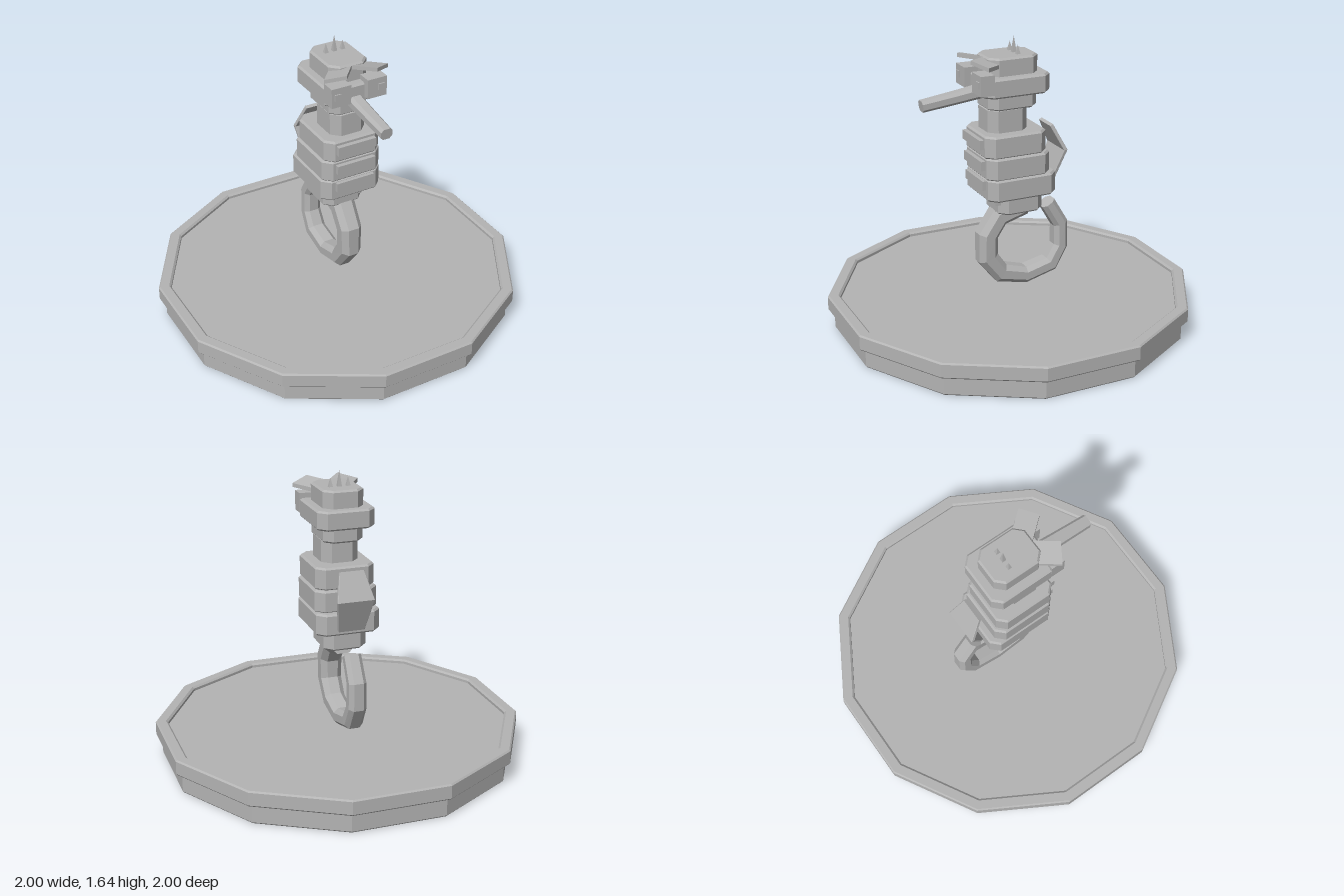
import * as THREE from 'three';

const grey = new THREE.MeshStandardMaterial({ color: 0xb4b4b4, flatShading: true });
grey.name = 'stone grey';

function add(parent, name, geometry, x = 0, y = 0, z = 0) {
  const mesh = new THREE.Mesh(geometry, grey);
  mesh.name = name;
  mesh.position.set(x, y, z);
  parent.add(mesh);
  return mesh;
}

// Upright block with chamfered corners and small bevels, half width w, z0..z1, y0..y1
function block(w, z0, z1, y0, y1, corner = 0.04, bevel = 0.01) {
  const a = w - bevel, b = (z1 - z0) / 2 - bevel, c = corner;
  const shape = new THREE.Shape([
    [a, c - b], [a, b - c], [a - c, b], [c - a, b],
    [-a, b - c], [-a, c - b], [c - a, -b], [a - c, -b],
  ].map(([x, y]) => new THREE.Vector2(x, y)));
  const g = new THREE.ExtrudeGeometry(shape, {
    depth: y1 - y0 - 2 * bevel, bevelEnabled: true, bevelSize: bevel,
    bevelThickness: bevel, bevelSegments: 1,
  });
  g.rotateX(-Math.PI / 2);
  g.translate(0, y0 + bevel, (z0 + z1) / 2);
  return g;
}

// Chamfered bar swept through [z, y, halfWidth, halfThickness] in the middle plane
function sweep(points, chamfer) {
  const rings = points.map(([z, y, w, h], i) => {
    const dir = (p, q) => new THREE.Vector2(q[0] - p[0], q[1] - p[1]).normalize();
    const before = i > 0 ? dir(points[i - 1], points[i]) : dir(points[0], points[1]);
    const after = i < points.length - 1 ? dir(points[i], points[i + 1]) : before;
    const t = before.clone().add(after).normalize();
    const k = h / t.dot(before);
    const c = chamfer * Math.min(w, h);
    return [[w, c - k], [w, k - c], [w - c, k], [c - w, k],
      [-w, k - c], [-w, c - k], [c - w, -k], [w - c, -k]]
      .map(([u, v]) => [u, y + t.x * v, z - t.y * v]);
  });
  const out = [];
  const tri = (a, b, c) => out.push(...a, ...b, ...c);
  for (let i = 0; i < rings.length - 1; i++) {
    for (let j = 0; j < 8; j++) {
      const n = (j + 1) % 8;
      tri(rings[i][j], rings[i][n], rings[i + 1][n]);
      tri(rings[i][j], rings[i + 1][n], rings[i + 1][j]);
    }
  }
  const last = rings[rings.length - 1];
  for (let j = 1; j < 7; j++) {
    tri(rings[0][0], rings[0][j + 1], rings[0][j]);
    tri(last[0], last[j], last[j + 1]);
  }
  const g = new THREE.BufferGeometry();
  g.setAttribute('position', new THREE.Float32BufferAttribute(out, 3));
  g.computeVertexNormals();
  return g;
}

// Thin tilted plate: a box whose vertices are moved onto a parallelogram
function browPlate(side) {
  const g = new THREE.BoxGeometry(1, 1, 1);
  const p = g.attributes.position;
  for (let i = 0; i < p.count; i++) {
    const u = side * p.getX(i) + 0.5, v = 0.5 - p.getZ(i);
    p.setXYZ(i, side * (0.09 + 0.1 * u - 0.09 * v),
      1.543 - 0.025 * u - 0.012 * v + p.getY(i) * 0.022,
      0.27 - 0.06 * u - 0.11 * v);
  }
  g.computeVertexNormals();
  return g;
}

export function createModel() {
  const model = new THREE.Group();
  model.name = 'seahorseStatue';

  // Twelve-sided pedestal with a raised rim
  const profile = [[0, 0], [0.96, 0], [0.967, 0.008], [0.967, 0.112], [0.993, 0.112],
    [1, 0.12], [1, 0.192], [0.992, 0.2], [0.943, 0.2], [0.932, 0.19], [0.932, 0.175], [0, 0.175]];
  const toCorner = 1 / Math.cos(Math.PI / 12);
  add(model, 'pedestal', new THREE.LatheGeometry(
    profile.map(([r, y]) => new THREE.Vector2(r * toCorner, y)), 12, Math.PI / 12));

  // Curled tail
  add(model, 'tail', sweep([
    [-0.08, 0.67, 0.065, 0.055], [0.075, 0.625, 0.065, 0.055], [0.145, 0.52, 0.063, 0.057],
    [0.145, 0.385, 0.06, 0.056], [0.065, 0.28, 0.058, 0.052], [-0.09, 0.24, 0.056, 0.047],
    [-0.25, 0.28, 0.054, 0.045], [-0.31, 0.385, 0.052, 0.043], [-0.31, 0.52, 0.05, 0.042],
    [-0.23, 0.655, 0.048, 0.042],
  ], 0.55));

  // Stacked body and head blocks
  const blocks = [
    ['hips', 0.122, -0.16, 0.11, 0.66, 0.78],
    ['lowerBody', 0.182, -0.212, 0.197, 0.768, 0.893],
    ['middleBody', 0.177, -0.175, 0.201, 0.888, 1.014],
    ['upperBody', 0.168, -0.157, 0.207, 1.01, 1.137],
    ['neck', 0.105, -0.072, 0.162, 1.12, 1.27],
    ['jaw', 0.112, -0.127, 0.162, 1.26, 1.36],
    ['headBand', 0.162, -0.18, 0.211, 1.345, 1.452],
    ['crown', 0.115, -0.13, 0.162, 1.44, 1.55],
  ];
  for (const [name, w, z0, z1, y0, y1] of blocks) add(model, name, block(w, z0, z1, y0, y1));

  // Belly plates
  for (const [w, y, z] of [[0.115, 1.088, 0.21], [0.115, 0.968, 0.203], [0.115, 0.855, 0.195], [0.09, 0.743, 0.107]])
    add(model, 'bellyPlate', new THREE.BoxGeometry(2 * w, 0.052, 0.045), 0, y, z);

  // Bent fin on the back
  add(model, 'backFin', sweep([
    [-0.222, 1.13, 0.07, 0.01], [-0.295, 0.985, 0.105, 0.01], [-0.222, 0.8, 0.075, 0.01],
  ], 0.3));

  // Snout
  add(model, 'snout', sweep([
    [0.14, 1.362, 0.042, 0.036], [0.3, 1.34, 0.039, 0.033], [0.518, 1.313, 0.034, 0.031],
  ], 0.5));

  // Eyes and brows on both sides
  for (const side of [-1, 1]) {
    add(model, 'eye', new THREE.BoxGeometry(0.115, 0.11, 0.08), side * 0.107, 1.425, 0.205);
    add(model, 'pupil', new THREE.BoxGeometry(0.036, 0.036, 0.02), side * 0.13, 1.428, 0.242);
    add(model, 'brow', browPlate(side));
  }

  // Crest spikes
  for (const [x, h] of [[-0.05, 0.055], [0, 0.095], [0.05, 0.055]]) {
    const spike = new THREE.ConeGeometry(0.018, h, 4);
    spike.rotateY(Math.PI / 4);
    add(model, 'crestSpike', spike, x, 1.545 + h / 2, -0.023);
  }
  return model;
}
